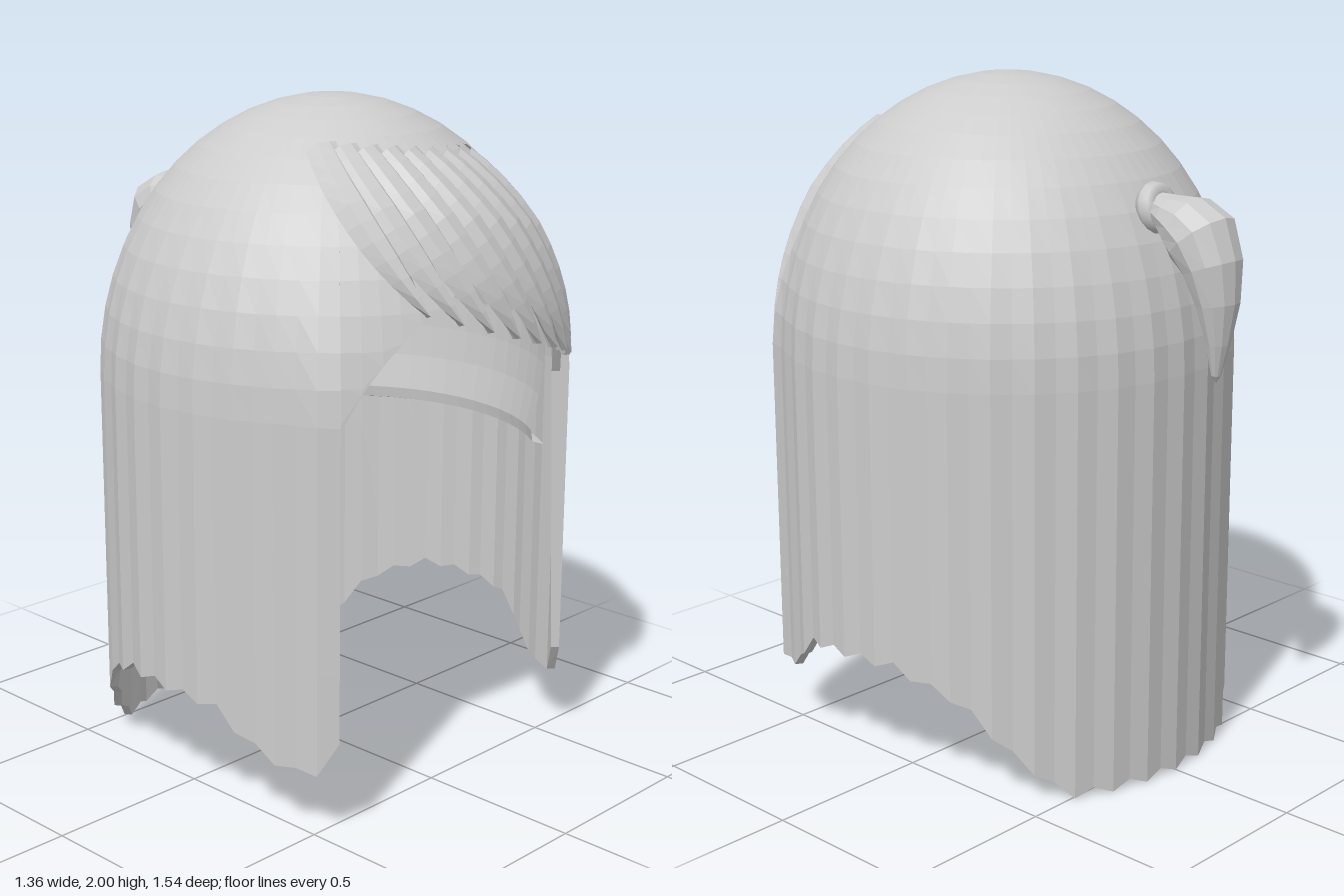
import * as THREE from 'three';

const RAD = Math.PI / 180;
const R = 0.68, SHOULDER = 1.2, DOME = 0.8, CZ = 0.08, LOCK = 44;
const lerp = THREE.MathUtils.lerp, smooth = THREE.MathUtils.smoothstep;

// Piecewise-linear lookup in [[x, y], ...]
function lookup(table, x) {
  for (let i = 1; i < table.length; i++) {
    const [x0, y0] = table[i - 1], [x1, y1] = table[i];
    if (x <= x1) return lerp(y0, y1, (x - x0) / (x1 - x0));
  }
  return table[table.length - 1][1];
}

// Skin a list of cross-sections; each section has the same number of points
function skin(sections, closeSection = false) {
  const n = sections[0].length, pos = [], idx = [];
  sections.forEach(s => s.forEach(p => pos.push(p.x, p.y, p.z)));
  const m = closeSection ? n : n - 1;
  for (let i = 0; i < sections.length - 1; i++) {
    for (let j = 0; j < m; j++) {
      const k = (j + 1) % n;
      const a = i * n + j, b = a + n, c = i * n + k, d = c + n;
      idx.push(a, b, c, b, d, c);
    }
  }
  const g = new THREE.BufferGeometry();
  g.setAttribute('position', new THREE.Float32BufferAttribute(pos, 3));
  g.setIndex(idx);
  const flat = g.toNonIndexed();
  flat.computeVertexNormals();
  return flat;
}

// Point on the hair surface: angle from the front in degrees, height, outward offset
function onHair(deg, y, offset) {
  let r = R + offset, h = y;
  if (y > SHOULDER) {
    const a = Math.asin(Math.min(1, (y - SHOULDER) / DOME));
    r = (R + offset) * Math.cos(a);
    h = SHOULDER + (DOME + offset) * Math.sin(a);
  }
  return new THREE.Vector3(r * Math.sin(deg * RAD), h, CZ + r * Math.cos(deg * RAD));
}

// Height of the lower edge, from the front locks round to the back
const HEM = [[44, 0.28], [48, 0.21], [52, 0.185], [62, 0.23], [75, 0.355], [92, 0.37],
  [105, 0.37], [122, 0.29], [135, 0.13], [148, 0.0], [180, 0.0]];

function shellGeometry() {
  const heights = [0.5, 0.85, 1.1, SHOULDER];
  for (let k = 1; k <= 13; k++) heights.push(SHOULDER + DOME * Math.sin(k * 90 / 13 * RAD));

  const column = (deg, hem, lock, ridge) => {
    const edge = Math.min(deg, 360 - deg);
    const bump = y => (lock ? 0.035 * (1 - smooth(edge, LOCK, 60)) * (1 - smooth(y, 1.2, 1.6)) : 0)
      - ridge * 0.008 * (1 - smooth(y, 1.2, 1.8));
    const ys = [hem, ...heights.map(y => Math.max(y, hem))];
    const outer = ys.map(y => onHair(deg, y, bump(y)));
    const inner = ys.map(y => onHair(deg, y, bump(y) - 0.025)).reverse();
    return [...outer, ...inner, outer[0].clone()];
  };

  const columns = [];
  // Curtain of hair round the sides and back
  for (let i = 0; i <= 54; i++) {
    const deg = LOCK + i * (360 - 2 * LOCK) / 54;
    const ridge = i % 2 === 0 ? 1 : 0;
    const hem = lookup(HEM, Math.min(deg, 360 - deg)) + 0.022 * ridge;
    columns.push(column(deg, hem, true, ridge));
  }
  // Arched face opening
  for (let i = 0; i <= 18; i++) {
    const deg = -LOCK + i * 2 * LOCK / 18;
    const x = R * Math.sin(deg * RAD) / 0.5;
    columns.push(column(deg + 360, 1.0 + 0.55 * Math.sqrt(1 - x * x), false, 0));
  }
  columns.push(columns[0]);
  return skin(columns);
}

// Inner cap band whose lower lip stands proud of the back wall
function liningGeometry() {
  const profile = [[0.65, 0.925], [0.615, 0.935], [0.61, 0.97], [0.63, 1.08], [0.64, 1.18], [0.645, 1.3]];
  const sections = [];
  for (let i = 0; i <= 44; i++) {
    const a = (50 + i * 260 / 44) * RAD;
    sections.push(profile.map(([r, y]) =>
      new THREE.Vector3(r * Math.sin(a), y + 0.012 * Math.abs(Math.sin(a)), CZ + r * Math.cos(a))));
  }
  return skin(sections.map(s => s.reverse()));
}

// One swept, tapering strand lying on the dome
function strandGeometry(rootDeg, rootY, tipDeg, tipY, halfWidth) {
  const sections = [];
  for (let i = 0; i <= 10; i++) {
    const t = i / 10;
    const deg = lerp(rootDeg, tipDeg, t);
    const y = lerp(rootY, tipY, Math.pow(t, 1.15));
    const w = halfWidth * (0.6 + 0.4 * t) * (1 - Math.pow(t, 3)) + 0.002;
    const r = Math.hypot(onHair(deg, y, 0).x, onHair(deg, y, 0).z - CZ);
    const dw = w / r / RAD;
    const lift = 0.008 + 0.02 * Math.min(1, t * 2.5);
    const taper = 1 - t * t * t;
    sections.push([
      onHair(deg - dw, y - w * 0.35, lift * 0.4),
      onHair(deg - dw * 0.35, y - w * 0.12, lift + 0.008 * taper),
      onHair(deg + dw * 0.4, y + w * 0.14, lift),
      onHair(deg + dw, y + w * 0.35, -0.004),
      onHair(deg, y, -0.022 * taper),
    ]);
  }
  return skin(sections.map(s => s.reverse()), true);
}

// Curved tail: [z, y, half depth, half width] along its centre line
function tailGeometry() {
  const spine = [[-0.49, 1.66, 0.005, 0.005], [-0.50, 1.66, 0.045, 0.05], [-0.55, 1.65, 0.055, 0.08],
    [-0.60, 1.63, 0.085, 0.1], [-0.65, 1.595, 0.1, 0.108], [-0.69, 1.52, 0.08, 0.095],
    [-0.71, 1.42, 0.058, 0.07], [-0.715, 1.31, 0.032, 0.04], [-0.71, 1.22, 0.013, 0.016],
    [-0.71, 1.2, 0.001, 0.001]];
  const sections = spine.map(([z, y, d, w], i) => {
    const p = spine[Math.max(0, i - 1)], q = spine[Math.min(spine.length - 1, i + 1)];
    const len = Math.hypot(q[0] - p[0], q[1] - p[1]);
    const nz = -(q[1] - p[1]) / len, ny = (q[0] - p[0]) / len;
    return Array.from({ length: 12 }, (_, k) => {
      const a = k / 12 * Math.PI * 2;
      return new THREE.Vector3(w * Math.cos(a), y + ny * d * Math.sin(a), z + nz * d * Math.sin(a));
    });
  });
  return skin(sections, true);
}

export function createModel() {
  const hair = new THREE.MeshStandardMaterial({ color: 0xcccccc, side: THREE.DoubleSide });
  hair.name = 'hairGrey';
  const model = new THREE.Group();
  model.name = 'wig';
  const add = (name, geometry, parent = model) => {
    const mesh = new THREE.Mesh(geometry, hair);
    mesh.name = name;
    parent.add(mesh);
    return mesh;
  };

  add('hairShell', shellGeometry());
  add('innerCap', liningGeometry());

  // Side-swept fringe
  const fringe = new THREE.Group();
  fringe.name = 'fringe';
  model.add(fringe);
  const count = 9;
  for (let i = 0; i < count; i++) {
    const u = i / (count - 1);
    add('fringeStrand', strandGeometry(lerp(-50, 28, u), lerp(1.89, 1.85, u),
      lerp(-23, 44, u), lerp(1.47, 1.23, u), 0.068), fringe);
  }

  // Small tail with its tie at the back
  const tie = add('tailTie', new THREE.TorusGeometry(0.045, 0.03, 8, 16));
  tie.position.set(0, 1.66, -0.49);
  tie.rotation.x = 0.25;
  add('tail', tailGeometry());
  return model;
}
